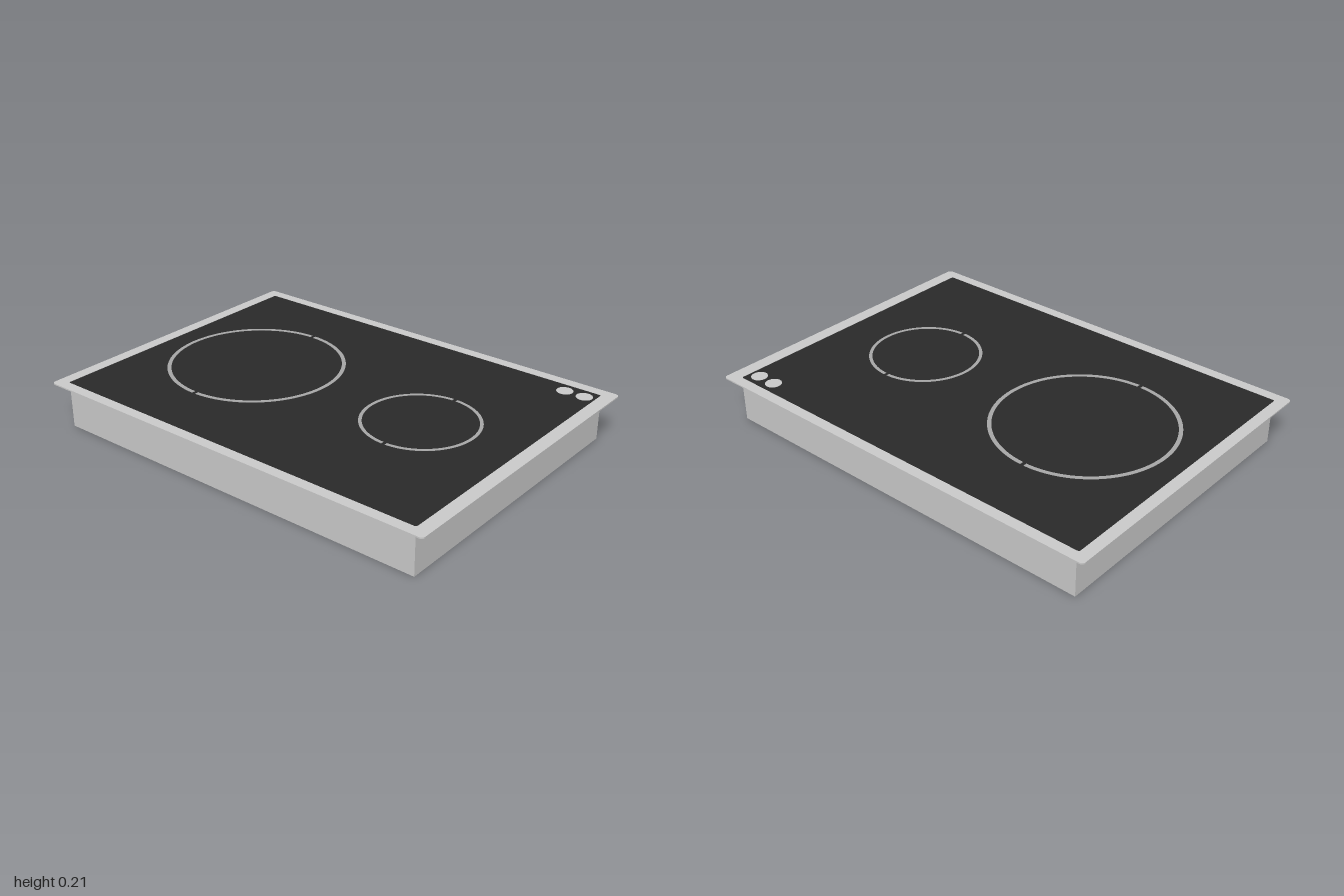
import * as THREE from 'three';

const steel = new THREE.MeshStandardMaterial({ color: 0xcccccc });
const black = new THREE.MeshStandardMaterial({ color: 0x2a2a2a });
const marking = new THREE.MeshStandardMaterial({ color: 0xa8a8a8 });

// Rounded rectangle in plan; shape y becomes -z once laid flat
function roundedRect(path, x0, x1, z0, z1, r) {
  const b = -z1, t = -z0;
  path.moveTo(x0 + r, b);
  path.lineTo(x1 - r, b);
  path.absarc(x1 - r, b + r, r, -Math.PI / 2, 0);
  path.lineTo(x1, t - r);
  path.absarc(x1 - r, t - r, r, 0, Math.PI / 2);
  path.lineTo(x0 + r, t);
  path.absarc(x0 + r, t - r, r, Math.PI / 2, Math.PI);
  path.lineTo(x0, b + r);
  path.absarc(x0 + r, b + r, r, Math.PI, Math.PI * 1.5);
  return path;
}

// Flat slab from a plan shape, between two heights
function slab(name, shape, y0, y1, material) {
  const geo = new THREE.ExtrudeGeometry(shape, { depth: y1 - y0, bevelEnabled: false, curveSegments: 32 });
  geo.rotateX(-Math.PI / 2);
  const mesh = new THREE.Mesh(geo, material);
  mesh.name = name;
  mesh.position.y = y0;
  return mesh;
}

// Half of a cooking zone ring, stopping short of the side gaps
function halfRing(inner, outer, start) {
  const gap = 0.009;
  const a = Math.asin(gap / outer), b = Math.asin(gap / inner);
  const shape = new THREE.Shape();
  shape.absarc(0, 0, outer, start + a, start + Math.PI - a, false);
  shape.absarc(0, 0, inner, start + Math.PI - b, start + b, true);
  return shape;
}

export function createModel() {
  const model = new THREE.Group();
  model.name = 'cooktop';

  // Housing below the worktop
  const housing = new THREE.Mesh(new THREE.BoxGeometry(1.37, 0.2, 1.874), steel);
  housing.name = 'housing';
  housing.position.y = 0.1;
  model.add(housing);

  // Seal under the rim
  const sealShape = roundedRect(new THREE.Shape(), -0.72, 0.72, -0.987, 0.987, 0.012);
  sealShape.holes.push(roundedRect(new THREE.Path(), -0.68, 0.68, -0.93, 0.93, 0.01));
  model.add(slab('seal', sealShape, 0.197, 0.207, steel));

  // Steel rim around the glass
  const rimShape = roundedRect(new THREE.Shape(), -0.733, 0.733, -1, 1, 0.018);
  rimShape.holes.push(roundedRect(new THREE.Path(), -0.684, 0.684, -0.946, 0.938, 0.01));
  model.add(slab('rim', rimShape, 0.206, 0.212, steel));

  // Glass plate
  const glassShape = roundedRect(new THREE.Shape(), -0.684, 0.684, -0.946, 0.938, 0.01);
  model.add(slab('glass', glassShape, 0.2, 0.2105, black));

  // Cooking zone markings
  const zones = [
    { name: 'rearZone', z: -0.441, inner: 0.388, outer: 0.406 },
    { name: 'frontZone', z: 0.475, inner: 0.244, outer: 0.259 },
  ];
  for (const { name, z, inner, outer } of zones) {
    const zone = new THREE.Group();
    zone.name = name;
    zone.position.set(-0.007, 0, z);
    for (const start of [0, Math.PI]) {
      zone.add(slab('zoneArc', halfRing(inner, outer, start), 0.209, 0.212, marking));
    }
    model.add(zone);
  }

  // Round control pads in the front corner
  for (const z of [0.793, 0.888]) {
    const pad = new THREE.Mesh(new THREE.CylinderGeometry(0.037, 0.037, 0.003, 40), steel);
    pad.name = 'controlPad';
    pad.position.set(0.625, 0.2105, z);
    model.add(pad);
  }

  return model;
}
